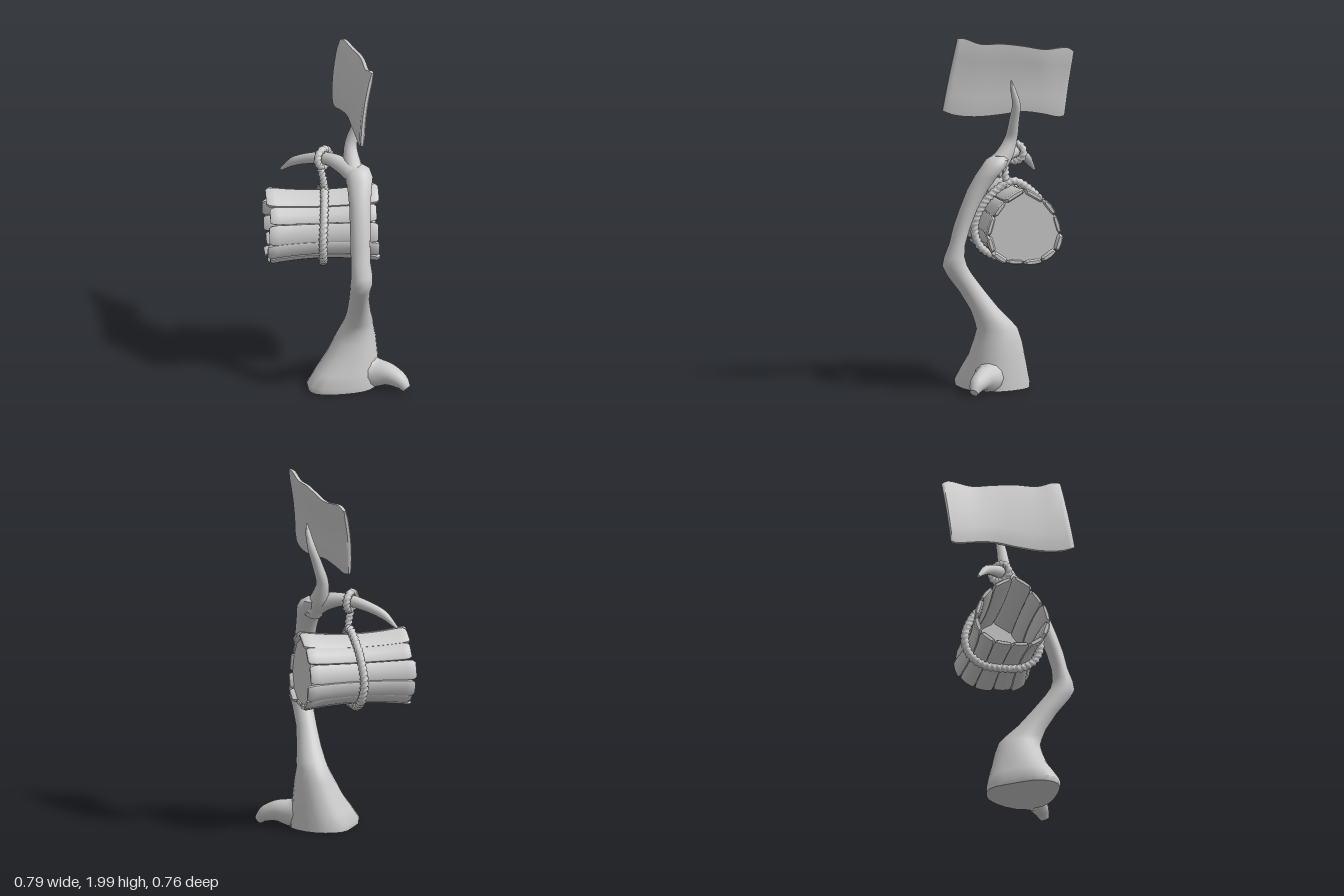
import * as THREE from 'three';
import { toCreasedNormals } from 'three/addons/utils/BufferGeometryUtils.js';

const V = (x, y, z) => new THREE.Vector3(x, y, z);
const lerp = THREE.MathUtils.lerp;
const material = new THREE.MeshStandardMaterial({ color: 0xcccccc, side: THREE.DoubleSide });

// Skin over a list of equal-sized rings, capped unless it loops back on itself
function loft(rings, { loop = false, crease = 0.9 } = {}) {
  const n = rings[0].length, m = rings.length;
  const points = rings.flat(), index = [];
  for (let i = 0; i < (loop ? m : m - 1); i++) {
    for (let j = 0; j < n; j++) {
      const a = i * n + j, b = i * n + (j + 1) % n;
      const c = ((i + 1) % m) * n + j, d = ((i + 1) % m) * n + (j + 1) % n;
      index.push(a, c, b, b, c, d);
    }
  }
  if (!loop) {
    [0, m - 1].forEach((i) => {
      const centre = rings[i].reduce((s, p) => s.add(p), V(0, 0, 0)).divideScalar(n);
      const k = points.push(centre) - 1;
      for (let j = 0; j < n; j++) {
        const a = i * n + j, b = i * n + (j + 1) % n;
        index.push(k, ...(i === 0 ? [a, b] : [b, a]));
      }
    });
  }
  // Turn the skin outward if its enclosed volume is negative
  let volume = 0;
  const cross = V(0, 0, 0);
  for (let i = 0; i < index.length; i += 3) {
    volume += points[index[i]].dot(cross.crossVectors(points[index[i + 1]], points[index[i + 2]]));
  }
  if (volume < 0) index.reverse();
  const geometry = new THREE.BufferGeometry().setFromPoints(points);
  geometry.setIndex(index);
  return toCreasedNormals(geometry, crease);
}

function add(parent, name, geometry) {
  const mesh = new THREE.Mesh(geometry, material);
  mesh.name = name;
  parent.add(mesh);
  return mesh;
}

// Round tube along a curve with a varying radius, optionally lobed and twisted like rope
function tube(curve, radius, { segs = 24, sides = 12, turns = 0, loop = false } = {}) {
  const frames = curve.computeFrenetFrames(segs, loop);
  const rings = [];
  for (let i = 0; i < (loop ? segs : segs + 1); i++) {
    const t = i / segs, p = curve.getPointAt(t), ring = [];
    for (let j = 0; j < sides; j++) {
      const a = (j / sides) * Math.PI * 2;
      const lobe = turns ? 1 + 0.17 * Math.cos(2 * (a - t * turns * Math.PI * 2)) : 1;
      const r = radius(t) * lobe;
      ring.push(p.clone()
        .addScaledVector(frames.normals[i], r * Math.cos(a))
        .addScaledVector(frames.binormals[i], r * Math.sin(a)));
    }
    rings.push(ring);
  }
  return loft(rings, { loop, crease: turns ? 1.4 : 1 });
}

// Tapered limb through [x, y, z, radius] stations, kept above the ground
function limb(stations) {
  const curve = new THREE.CatmullRomCurve3(stations.map((s) => V(s[0], s[1], s[2])));
  const total = curve.getLength(), lengths = curve.getLengths(20 * (stations.length - 1));
  const at = stations.map((s, i) => lengths[i * 20] / total);
  const radius = (t) => {
    let i = 0;
    while (i < at.length - 2 && t > at[i + 1]) i++;
    return lerp(stations[i][3], stations[i + 1][3], THREE.MathUtils.clamp((t - at[i]) / (at[i + 1] - at[i]), 0, 1));
  };
  const geometry = tube(curve, radius, { segs: 28 });
  const pos = geometry.attributes.position;
  for (let i = 0; i < pos.count; i++) pos.setY(i, Math.max(0, pos.getY(i)));
  return geometry;
}

// Crooked trunk: spread footprint blending up into an oval stem
function trunkGeometry() {
  const N = 24;
  const foot = new THREE.CatmullRomCurve3([
    V(0.24, 0, 0.08), V(0.17, 0, 0.22), V(0.03, 0, 0.265), V(-0.14, 0, 0.25),
    V(-0.175, 0, 0.15), V(-0.1, 0, 0), V(0, 0, -0.12), V(0.14, 0, -0.1)], true).getPoints(N);
  // y, x from, x to, z from, z to, share of footprint
  const stations = [
    [0, 0.02, 0.22, -0.07, 0.19, 0.97], [0.03, 0.02, 0.22, -0.07, 0.19, 1],
    [0.1, 0.02, 0.22, -0.07, 0.19, 0.74], [0.18, 0.02, 0.22, -0.07, 0.19, 0.42],
    [0.27, 0.02, 0.215, -0.06, 0.19, 0.15], [0.34, 0.03, 0.205, -0.045, 0.19, 0],
    [0.38, 0.04, 0.2, -0.01, 0.2, 0], [0.45, 0.05, 0.185, 0.06, 0.225, 0],
    [0.55, 0.055, 0.17, 0.14, 0.285, 0], [0.65, 0.055, 0.17, 0.215, 0.36, 0],
    [0.7, 0.055, 0.18, 0.245, 0.385, 0], [0.75, 0.06, 0.18, 0.26, 0.375, 0],
    [0.82, 0.06, 0.17, 0.255, 0.345, 0], [0.92, 0.06, 0.17, 0.225, 0.32, 0],
    [1.02, 0.06, 0.175, 0.185, 0.285, 0], [1.12, 0.06, 0.18, 0.13, 0.245, 0],
    [1.2, 0.055, 0.19, 0.07, 0.2, 0], [1.25, 0.05, 0.2, 0.025, 0.165, 0],
    [1.29, 0.055, 0.185, 0.01, 0.135, 0], [1.31, 0.08, 0.15, 0.03, 0.1, 0]];
  return loft(stations.map(([y, x0, x1, z0, z1, w]) => Array.from({ length: N }, (_, j) => {
    const a = (j / N) * Math.PI * 2;
    const x = (x0 + x1) / 2 + (x1 - x0) / 2 * Math.cos(a);
    const z = (z0 + z1) / 2 + (z1 - z0) / 2 * Math.sin(a);
    return V(lerp(x, foot[j].x, w), y, lerp(z, foot[j].z, w));
  })));
}

// Wavy sign sheet: vertical rounded sections swept from back to front
function signGeometry() {
  // bottom [x, y, z], top [x, y, z]
  const edges = [
    [0.02, 1.51, -0.335, 0.06, 1.875, -0.38], [0.03, 1.505, -0.3, 0.075, 1.9, -0.34],
    [0.055, 1.53, -0.2, 0.12, 1.9, -0.2], [0.08, 1.55, -0.08, 0.14, 1.925, -0.08],
    [0.095, 1.54, 0.05, 0.152, 1.945, 0.05], [0.11, 1.535, 0.2, 0.16, 1.95, 0.18],
    [0.115, 1.55, 0.32, 0.17, 1.985, 0.27], [0.115, 1.575, 0.385, 0.18, 1.99, 0.315]];
  const low = new THREE.CatmullRomCurve3(edges.map((e) => V(e[0], e[1], e[2])));
  const high = new THREE.CatmullRomCurve3(edges.map((e) => V(e[3], e[4], e[5])));
  const S = 28, rows = 8, rings = [];
  for (let i = 0; i <= S; i++) {
    const a = low.getPoint(i / S), b = high.getPoint(i / S), ring = [];
    const half = i === 0 || i === S ? 0.008 : 0.016;
    for (const side of [1, -1]) {
      for (let k = 0; k <= rows; k++) {
        const v = side > 0 ? k / rows : 1 - k / rows;
        const p = a.clone().lerp(b, v);
        const thin = k === 0 || k === rows ? 0.6 : 1;
        p.x += side * half * thin - 0.012 * Math.sin(v * Math.PI);
        ring.push(p);
      }
    }
    rings.push(ring);
  }
  return loft(rings, { crease: 0.7 });
}

// Barrel outline as [z, y] corners between staves, and its waisted scale along x
const CY = 0.91, CZ = -0.06;
const outline = [[-0.06, 1.15], [0.06, 1.08], [0.13, 0.99], [0.165, 0.87], [0.135, 0.77], [0.05, 0.71],
  [-0.06, 0.7], [-0.17, 0.71], [-0.255, 0.77], [-0.285, 0.87], [-0.25, 0.99], [-0.18, 1.08]];
const waist = (x) => 0.88 + 0.12 * Math.min(1, Math.abs((x + 0.08) / 0.31)) ** 2;
const onBarrel = (x, [z, y], s) => V(x, CY + (y - CY) * s, CZ + (z - CZ) * s);

function staveGeometry(i) {
  const p = outline[i], q = outline[(i + 1) % outline.length];
  const x0 = -0.39 + 0.018 * ((i * 5) % 3) / 2, x1 = 0.24 - 0.018 * ((i * 7) % 4) / 3;
  // [across, depth] of a plank with softened edges
  const section = [[0.01, 0.85], [0.02, 0.2], [0.12, 0], [0.5, -0.15], [0.88, 0], [0.98, 0.2], [0.99, 0.85], [0.9, 1], [0.1, 1]];
  const rings = [];
  for (let k = 0; k <= 12; k++) {
    const end = k === 0 || k === 12, near = k === 1 || k === 11;
    const t = [0, 0.025, 0.08][k] ?? [0.92, 0.975, 1][k - 10] ?? lerp(0.08, 0.92, (k - 2) / 8);
    const x = lerp(x0, x1, t), squeeze = end ? 0.75 : near ? 0.94 : 1;
    rings.push(section.map(([u, d]) => {
      const across = 0.5 + (u - 0.5) * squeeze;
      const depth = 0.5 + (d - 0.5) * (end ? 0.5 : 1);
      const lift = 0.02 * (i % 2);
      return onBarrel(x, [lerp(p[0], q[0], across), lerp(p[1], q[1], across)], waist(x) * (1 - 0.14 * depth - lift));
    }));
  }
  return loft(rings, { crease: 0.8 });
}

export function createModel() {
  const model = new THREE.Group();
  model.name = 'hangingBarrelSignpost';

  // Tree
  const tree = new THREE.Group();
  tree.name = 'tree';
  model.add(tree);
  add(tree, 'trunk', trunkGeometry());
  add(tree, 'root', limb([[0.1, 0.1, 0.1, 0.1], [0.2, 0.075, 0.14, 0.085], [0.28, 0.08, 0.19, 0.062],
    [0.345, 0.055, 0.24, 0.045], [0.375, 0.02, 0.265, 0.025]]));
  add(tree, 'sideBranch', limb([[0.12, 1.24, 0.09, 0.06], [0.05, 1.285, 0.03, 0.05], [-0.04, 1.305, -0.05, 0.036],
    [-0.12, 1.285, -0.11, 0.032], [-0.22, 1.235, -0.18, 0.026], [-0.285, 1.165, -0.235, 0.008]]));
  add(tree, 'upperBranch', limb([[0.11, 1.22, 0.1, 0.06], [0.09, 1.31, 0.025, 0.05], [0.085, 1.4, -0.015, 0.036],
    [0.115, 1.5, -0.025, 0.03], [0.15, 1.6, -0.03, 0.024], [0.165, 1.68, -0.01, 0.016], [0.17, 1.74, 0.005, 0.004]]));

  add(model, 'signSheet', signGeometry());

  // Barrel with an open end and a recessed lid
  const barrel = new THREE.Group();
  barrel.name = 'barrel';
  model.add(barrel);
  outline.forEach((_, i) => add(barrel, 'stave', staveGeometry(i)));
  add(barrel, 'lid', loft([0.195, 0.215].map((x) => outline.map((p) => onBarrel(x, p, 0.88)))));

  // Rope around the barrel, up to a loop over the branch
  const rope = new THREE.Group();
  rope.name = 'rope';
  model.add(rope);
  const band = new THREE.CatmullRomCurve3(outline.map((p) =>
    onBarrel(-0.085 + 0.025 * Math.max(0, (p[1] - 0.9) / 0.25) + 0.01 * Math.max(0, (0.9 - p[1]) / 0.2), p, 0.95)), true);
  add(rope, 'barrelBand', tube(band, () => 0.022, { segs: 320, sides: 12, turns: 24, loop: true }));
  const strand = new THREE.CatmullRomCurve3([V(-0.06, 1.1, -0.03), V(-0.065, 1.17, -0.02), V(-0.08, 1.25, -0.02)]);
  add(rope, 'hangingStrand', tube(strand, () => 0.02, { segs: 48, turns: 3 }));
  const along = V(-0.7, -0.1, -0.6).normalize(), out = V(0.6, 0, -0.7).normalize();
  const up = V(0, 0, 0).crossVectors(along, out);
  const loopPoints = Array.from({ length: 12 }, (_, i) => {
    const a = (i / 12) * Math.PI * 2;
    return V(-0.062, 1.3, -0.07).addScaledVector(out, 0.056 * Math.cos(a)).addScaledVector(up, 0.05 * Math.sin(a));
  });
  add(rope, 'branchLoop', tube(new THREE.CatmullRomCurve3(loopPoints, true), () => 0.02,
    { segs: 100, turns: 7, loop: true }));

  return model;
}
